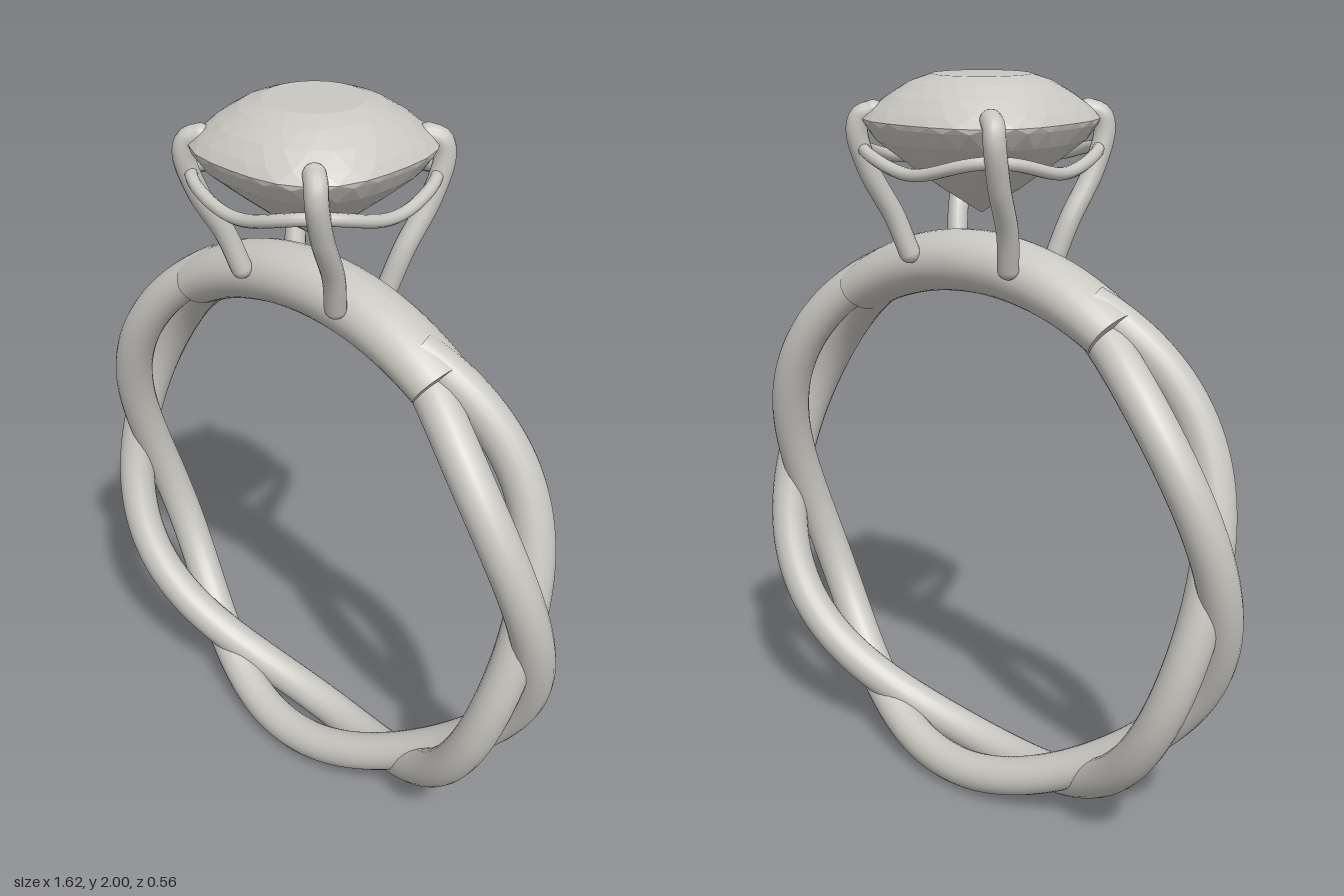
import * as THREE from 'three';

const RING_Y = 0.797, RING_R = 0.738;
const rad = THREE.MathUtils.degToRad;

// Distance from centre to a rounded-square outline of half-width h
const cushion = (t, h, n) =>
  h / Math.pow(Math.abs(Math.cos(t)) ** n + Math.abs(Math.sin(t)) ** n, 1 / n);

export function createModel() {
  const model = new THREE.Group();
  const metal = new THREE.MeshStandardMaterial({ color: 0xc9c7c1 });
  metal.name = 'pale silver';
  const gem = new THREE.MeshStandardMaterial({ color: 0xc9c7c1, flatShading: true });
  gem.name = 'pale stone';

  const add = (parent, name, geometry, material = metal) => {
    const mesh = new THREE.Mesh(geometry, material);
    mesh.name = name;
    parent.add(mesh);
    return mesh;
  };

  // Band: two strands twisted round each other below the bridge
  const band = new THREE.Group();
  band.name = 'band';
  band.position.y = RING_Y;
  model.add(band);
  for (const side of [1, -1]) {
    const points = [];
    for (let i = 0; i <= 100; i++) {
      const a = rad(-242 + (304 * i) / 100);
      const r = RING_R + side * 0.02 * Math.cos(3 * a);
      points.push(new THREE.Vector3(r * Math.cos(a), r * Math.sin(a), side * 0.076 * Math.sin(3 * a)));
    }
    add(band, side > 0 ? 'strandA' : 'strandB',
      new THREE.TubeGeometry(new THREE.CatmullRomCurve3(points), 200, 0.054, 20));
  }

  // Bridge: thick oval arc under the setting, slimmer at its ends
  const start = 55, end = 125;
  const arc = new THREE.TorusGeometry(RING_R, 0.08, 28, 48, rad(end - start));
  arc.rotateZ(rad(start));
  const p = arc.attributes.position;
  for (let i = 0; i < p.count; i++) {
    const x = p.getX(i), y = p.getY(i), a = Math.atan2(y, x);
    const k = Math.abs(a - Math.PI / 2) / rad((end - start) / 2);
    const half = 0.081 - 0.013 * k * k;
    const r = RING_R - 0.008 * (1 - k * k) + (Math.hypot(x, y) - RING_R) * (half / 0.08);
    p.setXYZ(i, r * Math.cos(a), r * Math.sin(a), p.getZ(i) * (0.092 / 0.08));
  }
  arc.computeVertexNormals();
  add(band, 'bridge', arc);
  for (const [angle, turn] of [[start, 1], [end, -1]]) {
    const cap = new THREE.CircleGeometry(1, 28);
    cap.scale(0.068, 0.092, 1).rotateX(turn * Math.PI / 2);
    cap.translate(RING_R, 0, 0).rotateZ(rad(angle));
    add(band, 'bridgeEnd', cap);
  }

  // Four claws, curving outward and hooking over the stone
  const claws = new THREE.Group();
  claws.name = 'claws';
  model.add(claws);
  for (const sx of [1, -1]) for (const sz of [1, -1]) {
    const path = [
      [0.165, 1.545, 0.095], [0.187, 1.64, 0.125], [0.212, 1.76, 0.188],
      [0.223, 1.86, 0.218], [0.215, 1.898, 0.212], [0.19, 1.91, 0.192],
    ].map(([x, y, z]) => new THREE.Vector3(sx * x, y, sz * z));
    add(claws, 'claw', new THREE.TubeGeometry(new THREE.CatmullRomCurve3(path), 40, 0.028, 14));
    for (const tip of [path[0], path[path.length - 1]])
      add(claws, 'clawTip', new THREE.SphereGeometry(0.028, 14, 10)).position.copy(tip);
  }

  // Gallery wire: rounded-square loop that dips between the claws
  const loop = [];
  for (let i = 0; i < 48; i++) {
    const t = (i / 48) * Math.PI * 2, r = cushion(t, 0.263, 3);
    loop.push(new THREE.Vector3(r * Math.cos(t), 1.797 - 0.02 * Math.cos(4 * t), r * Math.sin(t)));
  }
  add(model, 'galleryWire',
    new THREE.TubeGeometry(new THREE.CatmullRomCurve3(loop, true), 120, 0.016, 10, true));

  // Stone: staggered rings of facets as [half-width, height, squareness]
  const rings = [
    [0, 2, 2], [0.125, 2, 2], [0.175, 1.982, 2.1], [0.222, 1.951, 2.3], [0.255, 1.917, 2.6],
    [0.272, 1.893, 2.8], [0.268, 1.88, 2.8], [0.245, 1.84, 2.6], [0.19, 1.79, 2.3],
    [0.105, 1.722, 2], [0, 1.655, 2],
  ];
  const N = 26, corners = [];
  const at = (k, i) => {
    const t = ((i + k * 0.5) / N) * Math.PI * 2, [h, y, n] = rings[k];
    const r = cushion(t, h, n);
    return [r * Math.cos(t), y, r * Math.sin(t)];
  };
  for (let k = 0; k < rings.length - 1; k++) for (let i = 0; i < N; i++) {
    if (k > 0) corners.push(...at(k, i), ...at(k, i + 1), ...at(k + 1, i));
    if (k < rings.length - 2) corners.push(...at(k, i + 1), ...at(k + 1, i + 1), ...at(k + 1, i));
  }
  const stone = new THREE.BufferGeometry();
  stone.setAttribute('position', new THREE.Float32BufferAttribute(corners, 3));
  stone.computeVertexNormals();
  add(model, 'stone', stone, gem);

  return model;
}
